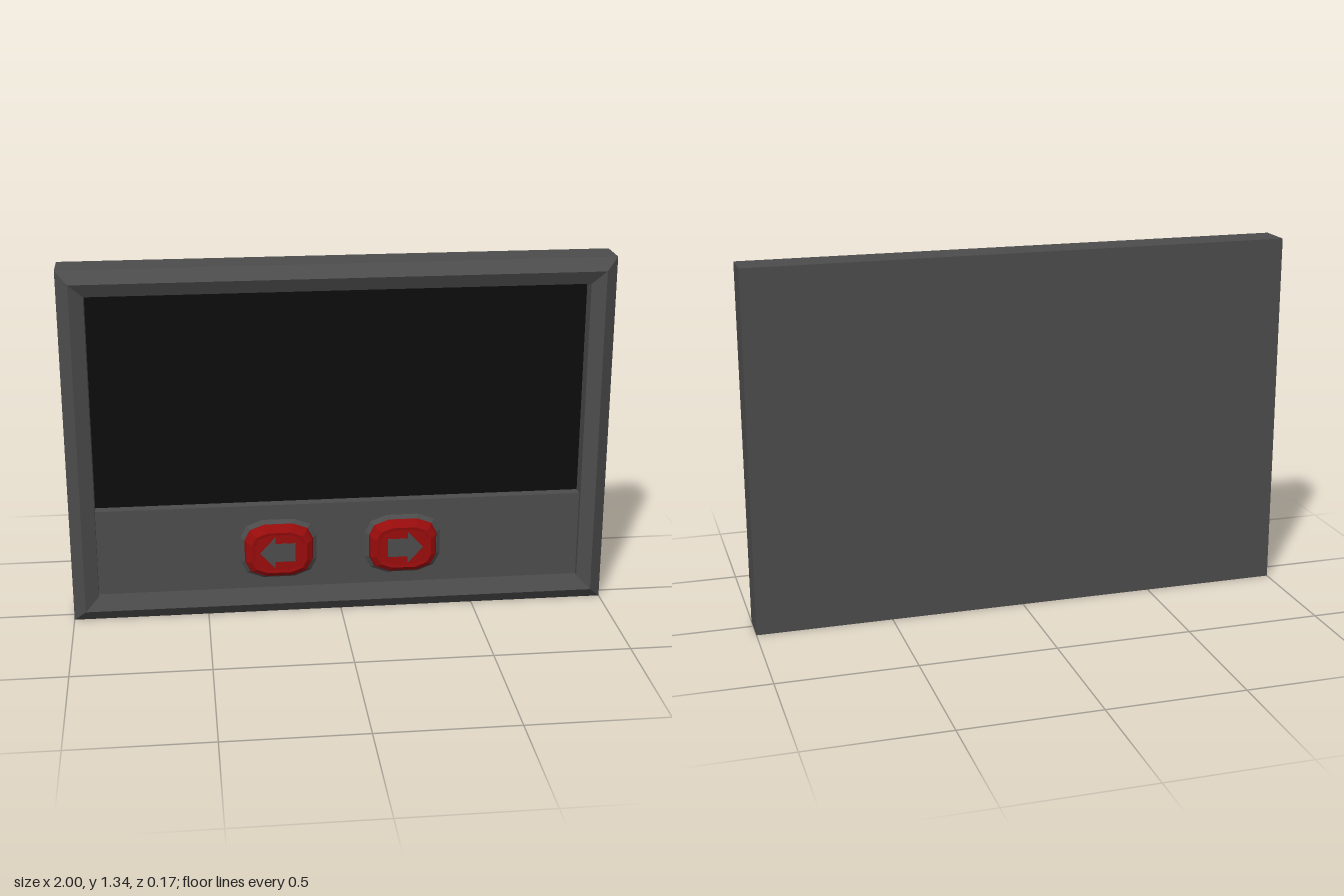
import * as THREE from 'three';

const W = 1, H = 1.335;

// Flat-faced skin through matching outlines, listed from back to front.
function loft(rings, capBack, capFront) {
  const pos = [];
  const tri = (a, b, c) => pos.push(...a, ...b, ...c);
  for (let r = 0; r + 1 < rings.length; r++) {
    const a = rings[r], b = rings[r + 1];
    a.forEach((p, i) => {
      const j = (i + 1) % a.length;
      tri(p, a[j], b[j]);
      tri(p, b[j], b[i]);
    });
  }
  const first = rings[0], last = rings[rings.length - 1];
  for (let i = 1; i + 1 < first.length; i++) {
    if (capBack) tri(first[0], first[i + 1], first[i]);
    if (capFront) tri(last[0], last[i], last[i + 1]);
  }
  const g = new THREE.BufferGeometry();
  g.setAttribute('position', new THREE.Float32BufferAttribute(pos, 3));
  g.computeVertexNormals();
  return g;
}

// Rectangle of the case outline, moved inward
const rect = (inset, z) => [
  [-W + inset, inset, z], [W - inset, inset, z],
  [W - inset, H - inset, z], [-W + inset, H - inset, z],
];

// Twelve-sided rounded rectangle, counter-clockwise
const quarter = [[1, 0.42], [0.84, 0.8], [0.42, 1]];
const unitOutline = [
  ...quarter,
  ...quarter.map(([x, y]) => [-x, y]).reverse(),
  ...quarter.map(([x, y]) => [-x, -y]),
  ...quarter.map(([x, y]) => [x, -y]).reverse(),
];
const pill = (hw, hh, z) => unitOutline.map(([x, y]) => [x * hw, y * hh, z]);

export function createModel() {
  const model = new THREE.Group();
  const make = (name, color) => {
    const m = new THREE.MeshStandardMaterial({ color, flatShading: true });
    m.name = name;
    return m;
  };
  const grey = make('charcoal grey', 0x4c4c4c);
  const black = make('screen black', 0x0d0d0d);
  const red = make('button red', 0x980c0c);

  const add = (parent, name, geometry, material, x = 0, y = 0, z = 0) => {
    const mesh = new THREE.Mesh(geometry, material);
    mesh.name = name;
    mesh.position.set(x, y, z);
    parent.add(mesh);
    return mesh;
  };

  // Case with bevelled rim and recessed front
  add(model, 'case', loft([
    rect(0, -0.085), rect(0, 0.047), rect(0.045, 0.083),
    rect(0.095, 0.058), rect(0.095, -0.006),
  ], true, false), grey);

  // Screen and the raised control panel below it
  add(model, 'screen', new THREE.BoxGeometry(1.81, 0.815, 0.008), black, 0, 0.8325, -0.006);
  add(model, 'controlPanel', new THREE.BoxGeometry(1.81, 0.33, 0.05), grey, 0, 0.26, 0.013);

  // Arrow pointing to +x
  const arrow = new THREE.Shape([
    [-0.06, -0.036], [0.015, -0.036], [0.015, -0.062], [0.072, 0],
    [0.015, 0.062], [0.015, 0.036], [-0.06, 0.036],
  ].map(([x, y]) => new THREE.Vector2(x, y)));

  // Two arrow buttons
  for (const side of [-1, 1]) {
    const button = new THREE.Group();
    button.name = side < 0 ? 'rightButton' : 'leftButton';
    button.position.set(side * 0.233, 0.252, 0);
    model.add(button);
    add(button, 'buttonCollar', loft([
      pill(0.145, 0.118, 0.036), pill(0.128, 0.102, 0.05),
    ], false, true), grey);
    add(button, 'buttonCap', loft([
      pill(0.128, 0.102, 0.048), pill(0.122, 0.098, 0.07), pill(0.102, 0.08, 0.085),
      pill(0.088, 0.07, 0.083),
    ], false, true), red);
    const plate = new THREE.ExtrudeGeometry(arrow, { depth: 0.003, bevelEnabled: false });
    const mark = add(button, 'arrow', plate, grey, 0, 0, 0.082);
    if (side < 0) mark.rotation.z = Math.PI;
  }
  return model;
}
